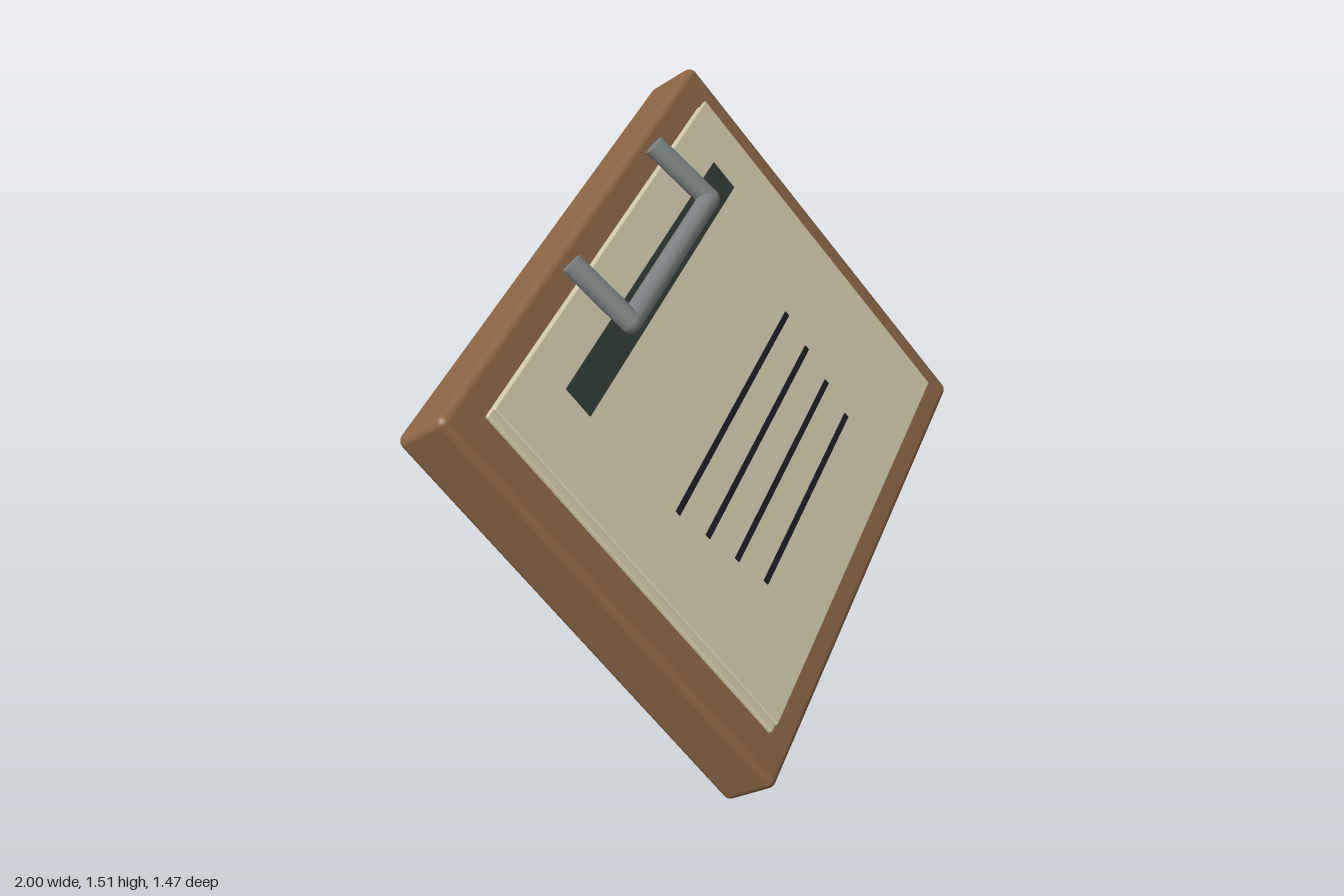
import * as THREE from 'three';
import { RoundedBoxGeometry } from 'three/addons/geometries/RoundedBoxGeometry.js';

const mat = (name, color) => {
  const m = new THREE.MeshStandardMaterial({ color });
  m.name = name;
  return m;
};

export function createModel() {
  const wood = mat('brown wood', 0x8b6544);
  const paper = mat('cream paper', 0xd2caad);
  const header = mat('dark green', 0x2f3a32);
  const ink = mat('dark ink', 0x1c1c26);
  const metal = mat('grey metal', 0x7c8283);

  // Everything is laid out flat on the board (x across, y up, z out), then tilted
  const clipboard = new THREE.Group();
  clipboard.name = 'clipboard';

  const add = (name, geometry, material, x, y, z, parent = clipboard) => {
    const mesh = new THREE.Mesh(geometry, material);
    mesh.name = name;
    mesh.position.set(x, y, z);
    parent.add(mesh);
    return mesh;
  };

  // Backing board
  add('board', new RoundedBoxGeometry(1.666, 1.288, 0.172, 4, 0.023), wood, 0, 0, 0);

  // Two sheets, the upper one shifted slightly sideways
  add('lowerSheet', new RoundedBoxGeometry(1.44, 1.112, 0.016, 2, 0.005), paper, 0, 0, 0.089);
  add('upperSheet', new RoundedBoxGeometry(1.44, 1.112, 0.014, 2, 0.005), paper, 0.022, 0, 0.1);

  // Printed heading bar and text rules
  add('headingBar', new THREE.BoxGeometry(1.056, 0.094, 0.006), header, 0.054, 0.385, 0.108);
  for (let i = 0; i < 4; i++) {
    const left = -0.466 + 0.026 * i;
    const right = 0.405 - 0.028 * i;
    add('textLine' + (i + 1), new THREE.BoxGeometry(right - left, 0.016, 0.006), ink,
      (left + right) / 2, -0.008 - 0.109 * i, 0.108);
  }

  // Wire clip: a U of straight rods with rounded joints
  const clip = new THREE.Group();
  clip.name = 'clip';
  clipboard.add(clip);
  const radius = 0.029;
  const rod = (name, a, b) => {
    const dir = b.clone().sub(a);
    const mid = a.clone().add(b).multiplyScalar(0.5);
    const mesh = add(name, new THREE.CylinderGeometry(radius, radius, dir.length(), 20), metal,
      mid.x, mid.y, mid.z, clip);
    mesh.quaternion.setFromUnitVectors(new THREE.Vector3(0, 1, 0), dir.normalize());
  };
  const corner = (s) => new THREE.Vector3(0.283 * s, 0.44, 0.242);
  const tip = (s) => new THREE.Vector3(0.279 * s, 0.645, 0.215);
  rod('clipBar', corner(-1), corner(1));
  for (const s of [-1, 1]) {
    rod(s > 0 ? 'leftClipArm' : 'rightClipArm', corner(s), tip(s));
    const c = corner(s);
    add('clipJoint', new THREE.SphereGeometry(radius, 20, 14), metal, c.x, c.y, c.z, clip);
  }

  // Tilt of the whole board, balanced on its lowest corner
  clipboard.rotation.set(-0.6343, 0.3484, 0.553);
  clipboard.position.y = 0.75;

  const model = new THREE.Group();
  model.name = 'tiltedClipboard';
  model.add(clipboard);
  return model;
}
